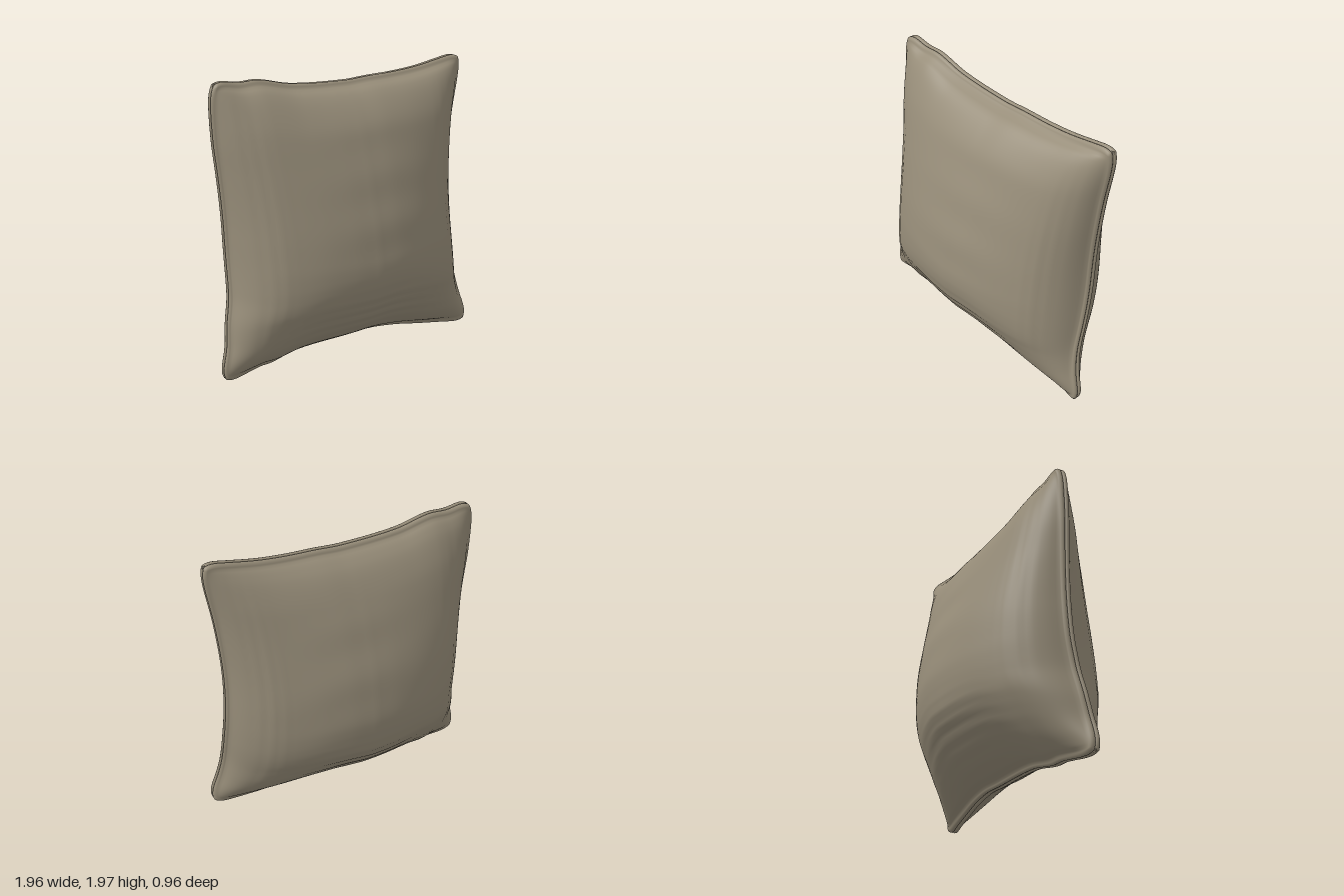
import * as THREE from 'three';

// Smooth curve through [position, value] points
function curve(pts) {
  const slope = pts.map((_, i) => {
    const a = pts[Math.max(i - 1, 0)], b = pts[Math.min(i + 1, pts.length - 1)];
    return (b[1] - a[1]) / (b[0] - a[0]);
  });
  return (x) => {
    if (x <= pts[0][0]) return pts[0][1];
    if (x >= pts[pts.length - 1][0]) return pts[pts.length - 1][1];
    let i = 0;
    while (x > pts[i + 1][0]) i++;
    const h = pts[i + 1][0] - pts[i][0], t = (x - pts[i][0]) / h, t2 = t * t, t3 = t2 * t;
    return (2 * t3 - 3 * t2 + 1) * pts[i][1] + (t3 - 2 * t2 + t) * h * slope[i]
      + (3 * t2 - 2 * t3) * pts[i + 1][1] + (t3 - t2) * h * slope[i + 1];
  };
}

// Outline edges: sides run over height, top and bottom run over width
const leftX = curve([[0, -1.005], [0.1, -0.99], [0.25, -0.95], [0.4, -0.93], [0.6, -0.895], [1, -0.89],
  [1.2, -0.897], [1.4, -0.912], [1.6, -0.93], [1.85, -0.937], [2, -0.935]]);
const rightX = curve([[0, 1.005], [0.1, 0.985], [0.25, 0.935], [0.4, 0.907], [0.6, 0.898], [1, 0.888],
  [1.2, 0.893], [1.4, 0.91], [1.6, 0.935], [1.8, 0.97], [2, 1.005]]);
const topY = curve([[-1, 2.01], [-0.93, 2.003], [-0.8, 1.972], [-0.65, 1.972], [-0.4, 1.92], [0, 1.9],
  [0.2, 1.91], [0.4, 1.917], [0.6, 1.935], [0.8, 1.97], [0.92, 1.998], [1, 2.01]]);
const bottomY = curve([[-1, 0.0], [-0.92, 0.01], [-0.7, 0.045], [-0.6, 0.045], [-0.4, 0.08], [0, 0.085],
  [0.2, 0.095], [0.4, 0.08], [0.6, 0.05], [0.8, 0.025], [0.92, 0.005], [1, 0.0]]);

// Depth of the seam along each side
const rightZ = curve([[0, 0.15], [0.2, 0.13], [0.4, 0.09], [0.6, 0.04], [0.8, 0], [1, -0.02], [1.4, -0.03], [2, -0.03]]);
const leftZ = curve([[0, 0.09], [0.2, 0.08], [0.4, 0.05], [0.6, 0.02], [0.8, -0.01], [1, -0.025], [1.4, -0.04], [2, -0.06]]);

// Depth of the centre line of each face over height
const frontZ = curve([[0.085, 0.035], [0.12, 0.13], [0.2, 0.24], [0.3, 0.325], [0.4, 0.39], [0.5, 0.445], [0.6, 0.47],
  [0.7, 0.477], [0.8, 0.473], [1, 0.44], [1.2, 0.39], [1.4, 0.33], [1.6, 0.26], [1.7, 0.21], [1.8, 0.14], [1.86, 0.075], [1.9, 0]]);
const backZ = curve([[0.085, 0.035], [0.12, 0.09], [0.2, 0.2], [0.3, 0.305], [0.4, 0.38], [0.5, 0.44], [0.6, 0.468],
  [0.7, 0.477], [0.8, 0.475], [1, 0.455], [1.2, 0.41], [1.4, 0.35], [1.6, 0.285], [1.7, 0.24], [1.8, 0.18], [1.86, 0.125], [1.9, 0.075]]);
// Share of the puff left towards the sides
const puff = curve([[0, 1], [0.22, 0.97], [0.45, 0.885], [0.67, 0.735], [0.79, 0.6], [0.9, 0.39], [0.96, 0.2], [1, 0]]);

// Rolled hem: [inset from the outline, height above the seam groove]
const HEM = [[0.018, 0], [0.005, 0.005], [0, 0.015], [0.004, 0.026], [0.016, 0.034], [0.026, 0.036]];

// Grid stations across the cushion: p place, b puff position, lip hem height
function stations(count) {
  const list = HEM.map(([d, h]) => ({ p: -1 + d, b: -1, lip: h }));
  for (let i = 1; i < count; i++) {
    const a = -1 + (2 * i) / count;
    const b = 0.5 * a + 0.5 * Math.sin((a * Math.PI) / 2);
    list.push({ p: b * 0.974, b, lip: 0.036 });
  }
  for (const [d, h] of [...HEM].reverse()) list.push({ p: 1 - d, b: 1, lip: h });
  return list;
}

const lerp = THREE.MathUtils.lerp;
const bump = (x, c, w) => Math.exp(-(((x - c) / w) ** 2));

function seamZ(u, v) {
  const y = 1 + v, t = (u + 1) / 2;
  const sag = 0.11 * (1 - u * u) * Math.max(0, (0.4 - v) / 1.4) ** 2;
  return lerp(leftZ(y), rightZ(y), t) - sag;
}

// Soft cloth folds: level ones near the bottom, upright ones near the sides
function folds(u, v, side) {
  const fade = Math.max(0, 1 - Math.abs(u) ** 4) * Math.max(0, 1 - v ** 8);
  const low = 0.006 * bump(v, -0.68, 0.2) * bump(u, 0.05, 0.5) * Math.sin(v * 68 + 5 * u * u);
  const upright = 0.005 * bump(Math.abs(u), 0.83, 0.12) * bump(v, 0, 0.7) * Math.sin(u * 75 + 2 * v);
  const middle = 0.003 * bump(u, 0.1, 0.4) * Math.sin(v * 17 + 2.5 * u * u + side);
  return fade * (low + upright + middle);
}

// One half of the cover; side is 1 for the front and -1 for the back
function coverHalf(side) {
  const grid = stations(76), n = grid.length, pos = [], index = [];
  const depth = side > 0 ? frontZ : backZ;
  for (const row of grid) {
    for (const col of grid) {
      // rounded corners
      const u = col.p * (1 - 0.035 * Math.abs(row.p) ** 18);
      const v = row.p * (1 - 0.035 * Math.abs(col.p) ** 18);
      const x = lerp(leftX(1 + v), rightX(1 + v), (u + 1) / 2);
      const y = lerp(bottomY(u), topY(u), (v + 1) / 2);
      const yMid = lerp(0.085, 1.9, (row.b + 1) / 2);
      const lip = Math.min(row.lip, col.lip);
      const ends = Math.min(1, (1 - Math.abs(row.b)) / 0.03);
      const rise = Math.max(0, depth(yMid) - side * seamZ(0, v) - 0.036) * ends;
      const z = seamZ(u, v) + side * (lip + rise * puff(Math.abs(col.b)) + folds(col.b, row.b, side));
      pos.push(x, y, z);
    }
  }
  for (let j = 0; j < n - 1; j++) {
    for (let i = 0; i < n - 1; i++) {
      const a = j * n + i, b = a + 1, c = a + n, d = c + 1;
      if (side > 0) index.push(a, b, d, a, d, c);
      else index.push(a, d, b, a, c, d);
    }
  }
  const geo = new THREE.BufferGeometry();
  geo.setAttribute('position', new THREE.Float32BufferAttribute(pos, 3));
  geo.setIndex(index);
  geo.computeVertexNormals();
  return geo;
}

export function createModel() {
  const cloth = new THREE.MeshStandardMaterial({ color: 0x978d79 });
  cloth.name = 'khaki cloth';
  const cushion = new THREE.Group();
  cushion.name = 'cushion';
  for (const [name, side] of [['frontCover', 1], ['backCover', -1]]) {
    const mesh = new THREE.Mesh(coverHalf(side), cloth);
    mesh.name = name;
    cushion.add(mesh);
  }
  return cushion;
}
